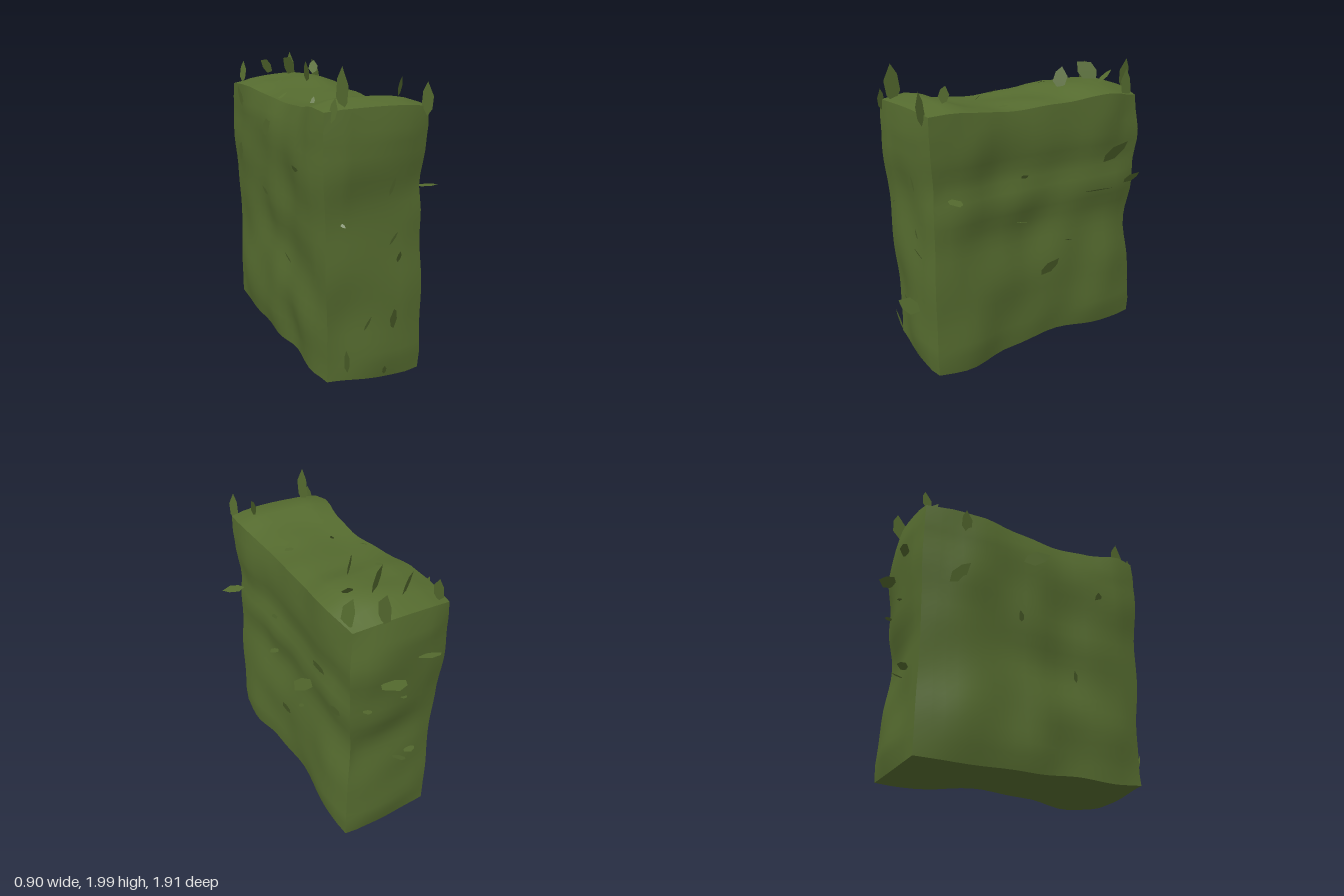
import * as THREE from 'three';

const GREEN = 0x556b2f;

// Smooth interpolation through [position, value] pairs
function profile(pairs) {
  return (t) => {
    let i = 0;
    while (i < pairs.length - 2 && t > pairs[i + 1][0]) i++;
    const [a, va] = pairs[i], [b, vb] = pairs[i + 1];
    return THREE.MathUtils.lerp(va, vb, THREE.MathUtils.smoothstep(t, a, b));
  };
}

// Core box, swollen outwards along its normals
const MIN = new THREE.Vector3(-0.355, 0.085, -0.775);
const MAX = new THREE.Vector3(0.24, 1.715, 0.785);

// Swelling of the top and bottom along z
const topZ = profile([[-0.78, 0.085], [-0.62, 0.105], [-0.42, 0.08], [-0.15, 0.025], [0.2, -0.01], [0.45, 0.015], [0.7, 0.085], [0.79, 0.08]]);
const botZ = profile([[-0.78, 0.05], [-0.4, 0.025], [-0.1, 0.02], [0.25, 0.035], [0.6, 0.08], [0.79, 0.065]]);
// Swelling of each wall by height and along its length
const rightY = profile([[0, 0.05], [0.15, 0.06], [0.5, 0.06], [0.9, 0.025], [1.13, 0.055], [1.3, 0.025], [1.52, 0.06], [1.78, 0.055]]);
const rightZ = profile([[-0.83, -0.01], [-0.6, 0.005], [-0.25, -0.02], [0.1, -0.035], [0.3, -0.025], [0.6, 0.005], [0.84, 0]]);
const leftY = profile([[0, 0.05], [0.4, 0.06], [0.78, 0.025], [1.05, 0.045], [1.5, 0.07], [1.78, 0.065]]);
const leftZ = profile([[-0.83, -0.01], [-0.5, 0.005], [-0.2, -0.012], [0, -0.005], [0.2, -0.03], [0.5, 0.005], [0.84, 0]]);
const frontY = profile([[0, 0.05], [0.3, 0.055], [0.9, 0.035], [1.2, 0.03], [1.5, 0.07], [1.78, 0.07]]);
const backY = profile([[0, 0.05], [0.2, 0.045], [0.8, 0.005], [1.1, 0.04], [1.45, 0.085], [1.6, 0.085], [1.78, 0.065]]);

// Local dents along the edges: x y z, depth, radius
const DENTS = [
  [-0.36, 0.12, 0.79, 0.045, 0.22],
  [-0.36, 0.42, 0.79, 0.045, 0.24],
  [0.245, 1.7, -0.78, 0.04, 0.2],
  [0.245, 0.75, -0.78, 0.035, 0.28],
  [0.245, 1.2, -0.78, 0.015, 0.2],
  [-0.36, 1.6, -0.78, 0.025, 0.3],
  [-0.36, 0.3, -0.78, 0.02, 0.3],
  [-0.36, 0.085, 0.35, 0.03, 0.22],
  [0.245, 0.085, -0.08, 0.03, 0.28],
  [0.245, 1.3, 0.79, 0.02, 0.3],
];

const bump = (a, b) => 0.006 * (Math.sin(a * 11 + Math.sin(b * 7)) + Math.sin(b * 13 + a * 5));

// Swelling at a point: each face's own value, shared between faces near the edges
function swelling({ x, y, z }) {
  const u = (x - MIN.x) / (MAX.x - MIN.x), arch = 4 * u * (1 - u);
  const faces = [
    [MAX.x - x, rightY(y) + rightZ(z) + bump(y, z)],
    [x - MIN.x, leftY(y) + leftZ(z) + bump(z, y)],
    [MAX.y - y, topZ(z) + 0.02 * arch + bump(x, z)],
    [y - MIN.y, botZ(z) - 0.02 * arch + bump(z, x)],
    [MAX.z - z, frontY(y) + 0.008 * arch + bump(y, x)],
    [z - MIN.z, backY(y) + 0.015 * arch + bump(x, y)],
  ];
  let sum = 0, total = 0;
  for (const [distance, value] of faces) {
    const weight = Math.exp(-distance / 0.05);
    sum += weight * value;
    total += weight;
  }
  const dent = DENTS.reduce((d, [dx, dy, dz, depth, radius]) =>
    d + depth * Math.exp(-((x - dx) ** 2 + (y - dy) ** 2 + (z - dz) ** 2) / radius ** 2), 0);
  return sum / total - dent;
}

function makeHedge() {
  const geo = new THREE.BoxGeometry(1, 1, 1, 10, 22, 20);
  const p = geo.attributes.position;
  const size = MAX.clone().sub(MIN);
  const side = (t) => (Math.abs(t) > 0.4999 ? Math.sign(t) : 0);
  for (let i = 0; i < p.count; i++) {
    const unit = new THREE.Vector3().fromBufferAttribute(p, i);
    const normal = new THREE.Vector3(side(unit.x), side(unit.y), side(unit.z)).normalize();
    const point = unit.addScalar(0.5).multiply(size).add(MIN);
    point.addScaledVector(normal, swelling(point));
    p.setXYZ(i, point.x, Math.max(0, point.y), point.z);
  }
  geo.computeVertexNormals();
  const mesh = new THREE.Mesh(geo, new THREE.MeshStandardMaterial({ color: GREEN }));
  mesh.name = 'hedgeBlock';
  return mesh;
}

const OUTLINE = [[0, 0], [0.4, 0.22], [0.5, 0.6], [0, 1], [-0.38, 0.72], [-0.48, 0.3]];

// Flat pointed leaf from base to tip; side gives the direction of its width
function leafGeometry(base, tip, width, side) {
  const dir = tip.clone().sub(base);
  const n = dir.clone().normalize();
  const across = side.clone().addScaledVector(n, -side.dot(n)).normalize().multiplyScalar(width);
  const pts = OUTLINE.flatMap(([s, t]) => base.clone().addScaledVector(dir, t).addScaledVector(across, s).toArray());
  const geo = new THREE.BufferGeometry();
  geo.setAttribute('position', new THREE.Float32BufferAttribute(pts, 3));
  geo.setIndex([0, 1, 5, 1, 4, 5, 1, 2, 4, 2, 3, 4]);
  geo.computeVertexNormals();
  return geo;
}

// Leaves per face: base x y z, tip x y z, width, turn of the width in that face
const TOP = [
  [-0.27, 1.75, 0.79, -0.275, 2.0, 0.8, 0.12, 1.4],
  [-0.36, 1.7, 0.84, -0.34, 1.84, 0.85, 0.06, 1.2],
  [0.25, 1.7, 0.85, 0.24, 1.9, 0.86, 0.08, 1.1],
  [0.16, 1.8, 0.67, 0.19, 1.91, 0.66, 0.07, -0.7],
  [0.08, 1.75, -0.82, 0.085, 1.96, -0.85, 0.11, 1.4],
  [0.26, 1.7, -0.7, 0.22, 1.91, -0.73, 0.11, 1.4],
  [-0.33, 1.75, -0.77, -0.31, 1.91, -0.79, 0.08, 1.3],
  [0, 1.78, -0.31, 0, 1.93, -0.34, 0.1, -0.8],
  [0.03, 1.82, -0.62, -0.09, 1.94, -0.54, 0.13, -0.65],
  [-0.11, 1.83, -0.72, -0.22, 1.92, -0.66, 0.09, -0.6],
  [0.14, 1.82, -0.54, 0.19, 1.91, -0.62, 0.07, 0.2],
  [-0.25, 1.79, -0.31, -0.18, 1.81, -0.33, 0.04, 1.5],
  [-0.38, 1.72, 0.05, -0.28, 1.77, 0.01, 0.03, 1.2],
  [0.09, 1.73, 0.23, 0.17, 1.74, 0.21, 0.045, 1.5],
  [-0.22, 1.7, 0.25, -0.18, 1.76, 0.21, 0.03, 0.8],
];
const RIGHT = [
  [0.28, 1.29, -0.5, 0.4, 1.45, -0.61, 0.1, 0.35],
  [0.28, 1.1, -0.34, 0.45, 1.16, -0.45, 0.11, 0.1],
  [0.28, 1.11, -0.7, 0.37, 1.2, -0.76, 0.08, 0.3],
  [0.28, 1.24, 0.69, 0.44, 1.24, 0.72, 0.09, 0.08],
  [0.27, 0.56, 0.01, 0.36, 0.7, -0.07, 0.09, 0.4],
  [0.25, 0.98, 0.2, 0.33, 1.0, 0.17, 0.05, 0.1],
  [0.26, 1.28, 0.17, 0.31, 1.31, 0.15, 0.04, 0.5],
  [0.26, 0.77, -0.2, 0.31, 0.79, -0.22, 0.03, 0.3],
];
const FRONT = [
  [0.09, 0.45, 0.85, -0.02, 0.51, 0.95, 0.12, 1.57],
  [-0.24, 0.14, 0.83, -0.27, 0.32, 0.87, 0.04, 0.2],
  [-0.13, 0.4, 0.83, -0.1, 0.51, 0.87, 0.02, 0],
  [0.02, 0.07, 0.83, 0, 0.15, 0.87, 0.03, 0],
  [0.1, 0.81, 0.82, 0.09, 0.9, 0.87, 0.03, 0],
  [0.04, 0.93, 0.82, 0.08, 1.02, 0.85, 0.02, 0],
  [0.03, 1.24, 0.82, 0.055, 1.36, 0.85, 0.025, 0],
  [-0.29, 1.11, 0.81, -0.27, 1.09, 0.85, 0.02, 0.8],
];
const BACK = [
  [0.02, 1.35, -0.84, 0.03, 1.36, -0.96, 0.18, 0.05],
  [-0.24, 1.46, -0.85, -0.22, 1.47, -0.91, 0.15, 0],
  [-0.1, 1.17, -0.81, -0.08, 1.18, -0.86, 0.06, 0.2],
  [0.15, 1.15, -0.81, 0.17, 1.16, -0.86, 0.06, 0.1],
  [-0.12, 0.62, -0.79, -0.1, 0.65, -0.87, 0.1, 0.4],
  [-0.2, 0.66, -0.79, -0.18, 0.68, -0.86, 0.08, -0.2],
];
const LEFT = [
  [-0.42, 1.5, -0.1, -0.44, 1.6, 0.1, 0.1, 1.57],
  [-0.41, 1.6, -0.52, -0.44, 1.76, -0.54, 0.08, 0.2],
  [-0.41, 1.2, -0.63, -0.44, 1.36, -0.5, 0.08, 0],
  [-0.41, 1.34, 0.5, -0.45, 1.4, 0.48, 0.06, 0.3],
  [-0.39, 1.05, -0.1, -0.42, 1.12, -0.13, 0.04, 0.5],
  [-0.39, 0.7, 0.3, -0.42, 0.77, 0.27, 0.03, 0.2],
];

export function createModel() {
  const model = new THREE.Group();
  model.name = 'hedge';
  model.add(makeHedge());
  const mat = new THREE.MeshStandardMaterial({ color: GREEN, side: THREE.DoubleSide });
  const inTop = (a) => new THREE.Vector3(Math.cos(a), 0, Math.sin(a));
  const inSide = (a) => new THREE.Vector3(0, Math.sin(a), Math.cos(a));
  const inFront = (a) => new THREE.Vector3(Math.cos(a), Math.sin(a), 0);
  const faces = { topLeaf: [TOP, inTop], rightLeaf: [RIGHT, inSide], frontLeaf: [FRONT, inFront], backLeaf: [BACK, inFront], leftLeaf: [LEFT, inSide] };
  for (const [name, [rows, plane]] of Object.entries(faces)) {
    for (const r of rows) {
      const geo = leafGeometry(new THREE.Vector3(r[0], r[1], r[2]), new THREE.Vector3(r[3], r[4], r[5]), r[6], plane(r[7]));
      const leaf = new THREE.Mesh(geo, mat);
      leaf.name = name;
      model.add(leaf);
    }
  }
  return model;
}
